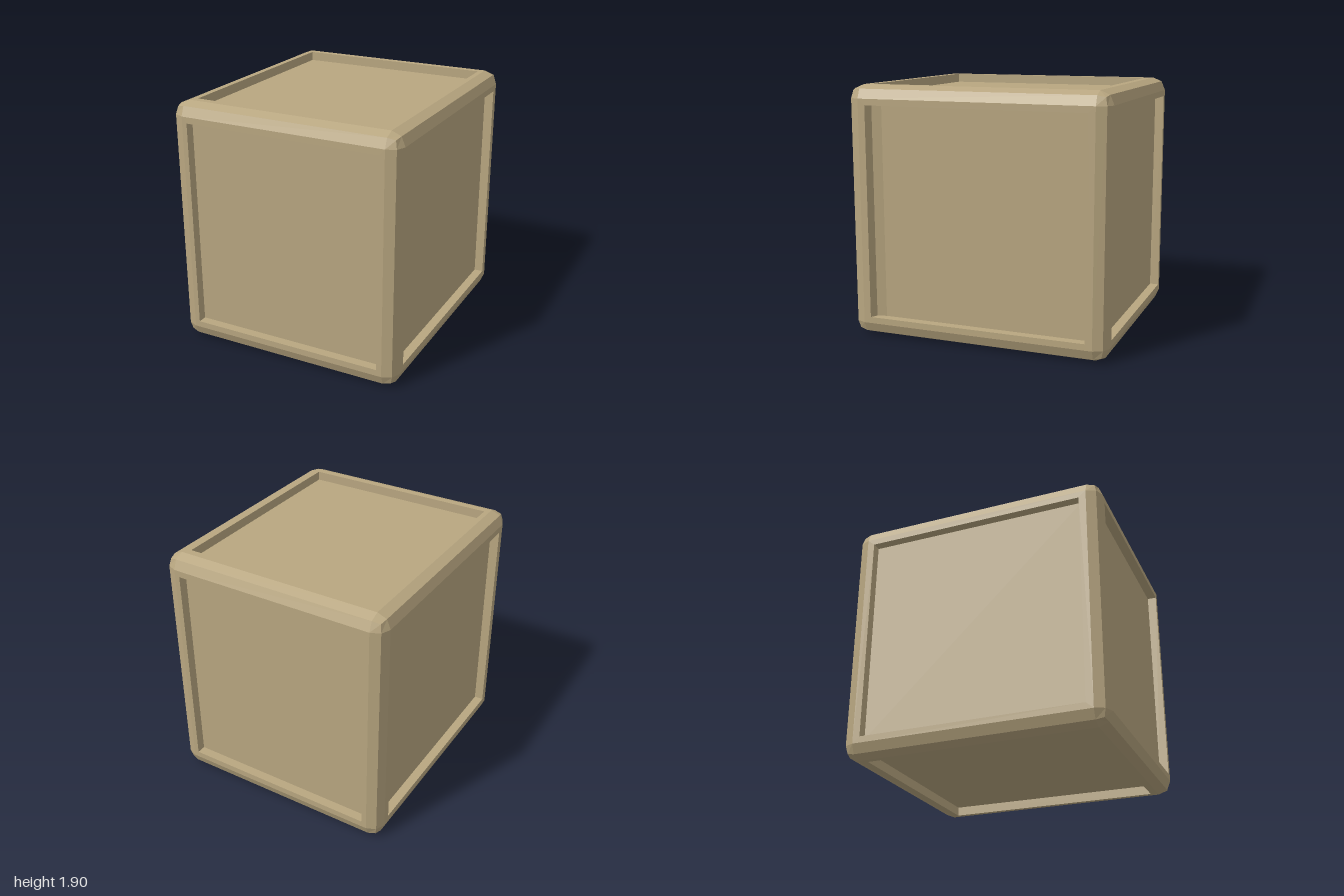
import * as THREE from 'three';
import { RoundedBoxGeometry } from 'three/addons/geometries/RoundedBoxGeometry.js';

const HALF = { x: 0.9, y: 0.95, z: 1 };
const BEVEL = 0.1;
const INSET = 0.845; // recess size relative to the face
const DEPTH = 0.07;

// Rounded edges and corners only: the flat face centres are dropped
function bevelGeometry() {
  const box = new RoundedBoxGeometry(HALF.x * 2, HALF.y * 2, HALF.z * 2, 1, BEVEL).toNonIndexed();
  const p = box.attributes.position;
  const kept = [];
  for (let i = 0; i < p.count; i += 3) {
    const tri = [0, 1, 2].map((k) => new THREE.Vector3().fromBufferAttribute(p, i + k));
    const flat = ['x', 'y', 'z'].some((a) => tri.every((v) => Math.abs(v[a]) > HALF[a] - 1e-4));
    const area = tri[1].clone().sub(tri[0]).cross(tri[2].clone().sub(tri[0])).length();
    if (!flat && area > 1e-7) tri.forEach((v) => kept.push(v.x, v.y, v.z));
  }
  const geo = new THREE.BufferGeometry();
  geo.setAttribute('position', new THREE.Float32BufferAttribute(kept, 3));
  geo.computeVertexNormals();
  return geo;
}

function rectangle(PathType, w, h) {
  return new PathType([[-w, -h], [w, -h], [w, h], [-w, h]].map(([x, y]) => new THREE.Vector2(x, y)));
}

export function createModel() {
  const model = new THREE.Group();
  model.name = 'crate';
  const body = new THREE.Group();
  body.name = 'body';
  body.position.y = HALF.y;
  model.add(body);
  const material = new THREE.MeshStandardMaterial({ color: 0xb8a680, flatShading: true });

  const add = (parent, name, geometry) => {
    const mesh = new THREE.Mesh(geometry, material);
    mesh.name = name;
    parent.add(mesh);
    return mesh;
  };

  add(body, 'bevelledEdges', bevelGeometry());

  // Six sides: a raised frame around a sunken panel (u, v: face axes, n: outward axis)
  const sides = [
    ['front', 'x', 'y', 'z', 0, 0],
    ['back', 'x', 'y', 'z', 0, Math.PI],
    ['right', 'z', 'y', 'x', 0, Math.PI / 2],
    ['left', 'z', 'y', 'x', 0, -Math.PI / 2],
    ['top', 'x', 'z', 'y', -Math.PI / 2, 0],
    ['bottom', 'x', 'z', 'y', Math.PI / 2, 0],
  ];
  for (const [name, u, v, n, rx, ry] of sides) {
    const side = new THREE.Group();
    side.name = name + 'Side';
    side.rotation.set(rx, ry, 0);
    body.add(side);

    const w = HALF[u] * INSET, h = HALF[v] * INSET;
    const frame = rectangle(THREE.Shape, HALF[u] - BEVEL, HALF[v] - BEVEL);
    frame.holes.push(rectangle(THREE.Path, w, h));
    const floor = HALF[n] - DEPTH;
    add(side, name + 'Frame', new THREE.ExtrudeGeometry(frame, { depth: DEPTH, bevelEnabled: false }))
      .position.z = floor;
    add(side, name + 'Panel', new THREE.PlaneGeometry(w * 2, h * 2)).position.z = floor;
  }

  // Concave fillet along the forward wall of the right recess
  const z = HALF.z * INSET, x = HALF.x - DEPTH, y = HALF.y * INSET;
  const fillet = new THREE.Shape([
    [x, z], [HALF.x, z], [x + DEPTH * 0.3, z - 0.03], [x, z - BEVEL],
  ].map(([a, b]) => new THREE.Vector2(a, -b)));
  const filletGeo = new THREE.ExtrudeGeometry(fillet, { depth: y * 2, bevelEnabled: false });
  filletGeo.rotateX(-Math.PI / 2).translate(0, -y, 0);
  add(body, 'rightRecessFillet', filletGeo);

  return model;
}
